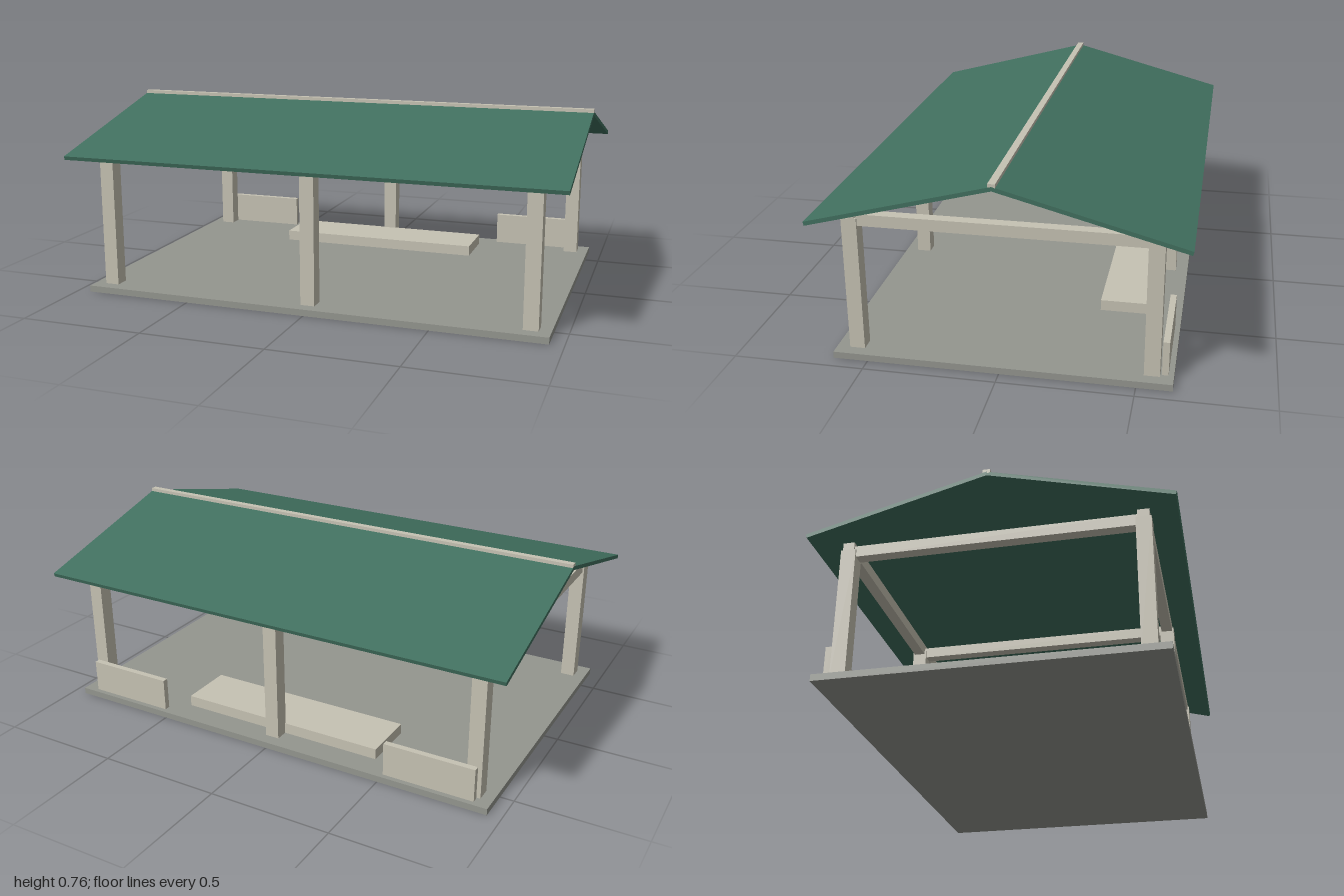
import * as THREE from 'three';

export function createModel() {
  const model = new THREE.Group();
  model.name = 'pavilion';

  const mat = (name, color) => {
    const m = new THREE.MeshStandardMaterial({ color });
    m.name = name;
    return m;
  };
  const timber = mat('pale timber', 0xc6c2b3);
  const concrete = mat('grey concrete', 0x94968f);
  const green = mat('green roofing', 0x41705f);

  // Box given by its lower and upper limits on each axis
  const box = (name, material, [x0, x1], [y0, y1], [z0, z1]) => {
    const mesh = new THREE.Mesh(new THREE.BoxGeometry(x1 - x0, y1 - y0, z1 - z0), material);
    mesh.position.set((x0 + x1) / 2, (y0 + y1) / 2, (z0 + z1) / 2);
    mesh.name = name;
    model.add(mesh);
  };
  const around = (c, half) => [c - half, c + half];
  const floor = 0.026;

  box('floorSlab', concrete, [-0.945, 0.945], [0, floor], [-0.632, 0.632]);

  // Posts in two rows of three, with a long beam on each row
  for (const side of [-1, 1]) {
    const z = side * 0.553;
    for (const x of [-0.87, 0, 0.87]) {
      box('post', timber, around(x, 0.029), [floor, 0.555], around(z, 0.029));
    }
    box('longBeam', timber, [-0.898, 0.898], [0.54, 0.585], around(z, 0.022));
  }

  // Cross beams joining the two rows
  for (const x of [-0.87, 0, 0.87]) {
    box('crossBeam', timber, around(x, 0.022), [0.525, 0.57], [-0.535, 0.535]);
  }

  // Raised platform and low panels along the back
  box('platform', timber, [-0.442, 0.442], [floor, 0.07], [-0.53, -0.308]);
  for (const side of [-1, 1]) {
    box('lowPanel', timber, around(side * 0.7, 0.185), [floor, 0.16], around(-0.6, 0.012));
  }

  // Gable roof: chevron profile extruded along x
  const profile = new THREE.Shape([
    [0, 0.755], [-0.681, 0.575], [-0.677, 0.56],
    [0, 0.739], [0.677, 0.56], [0.681, 0.575],
  ].map(([z, y]) => new THREE.Vector2(z, y)));
  const roofGeometry = new THREE.ExtrudeGeometry(profile, { depth: 2, bevelEnabled: false });
  roofGeometry.translate(0, 0, -1).rotateY(Math.PI / 2);
  const roof = new THREE.Mesh(roofGeometry, green);
  roof.name = 'roof';
  model.add(roof);

  box('ridgeCap', timber, [-1, 1], [0.749, 0.765], around(0, 0.0135));

  return model;
}
